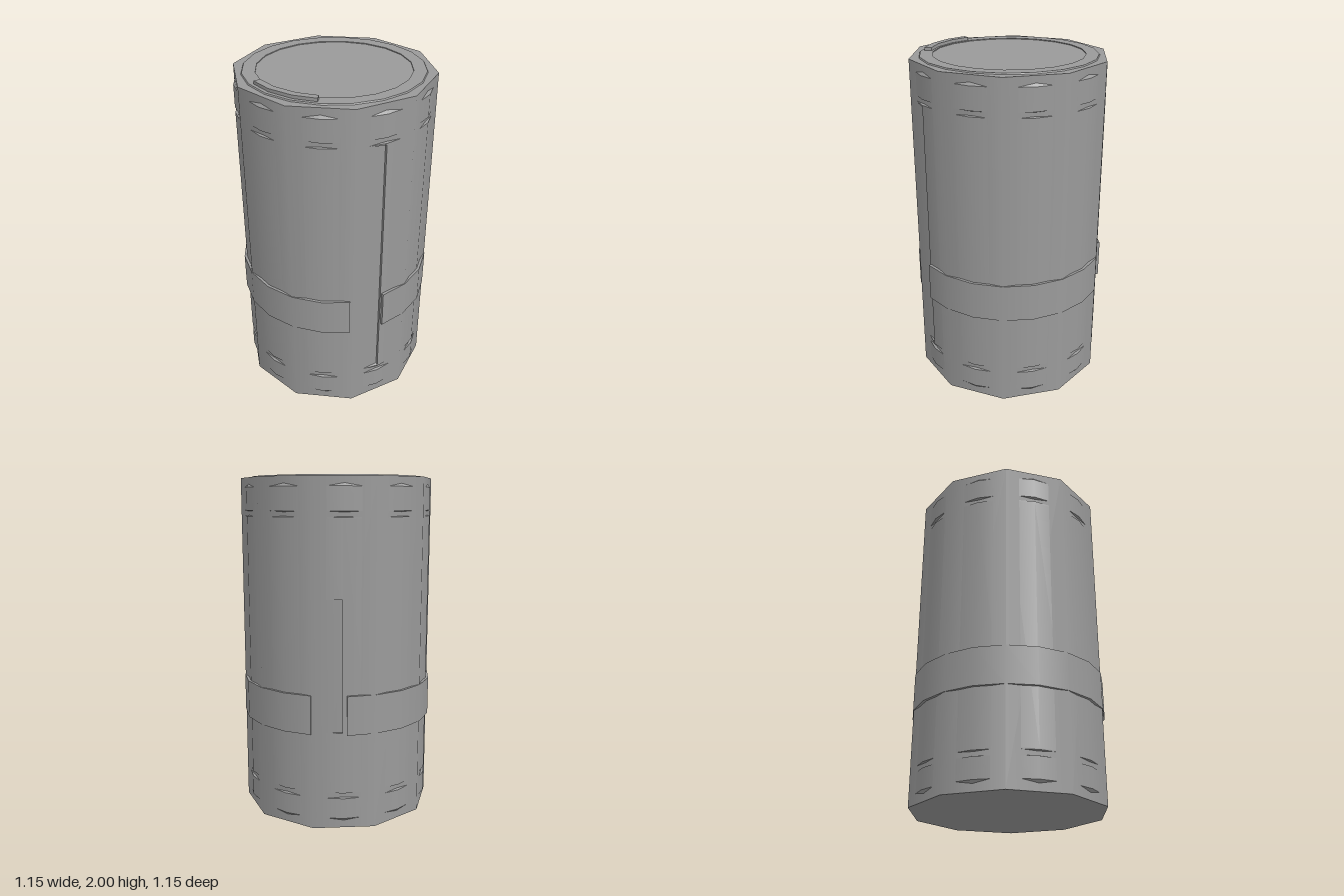
import * as THREE from 'three';
import { toCreasedNormals } from 'three/addons/utils/BufferGeometryUtils.js';

const STEP = 18; // degrees per side of the 20-sided rings
const BODY_R = 0.57;
const SLEEVE_R = 0.557;

// Round shading for walls that face outwards; edges and ends stay sharp
function roundNormals(geometry) {
  const { position, normal } = geometry.attributes;
  const n = new THREE.Vector3();
  const radial = new THREE.Vector3();
  for (let i = 0; i < position.count; i++) {
    n.fromBufferAttribute(normal, i);
    radial.fromBufferAttribute(position, i).setY(0).normalize();
    if (n.dot(radial) > 0.93) normal.setXYZ(i, radial.x, 0, radial.z);
  }
  return geometry;
}

export function createModel() {
  const model = new THREE.Group();
  model.name = 'canister';
  const material = new THREE.MeshStandardMaterial({ color: 0x9a9a9a });

  function add(name, geometry, crease = 0.5) {
    const mesh = new THREE.Mesh(roundNormals(toCreasedNormals(geometry, crease)), material);
    mesh.name = name;
    model.add(mesh);
  }

  // Full 20-sided ring from a [radius, y] profile
  function ring(name, profile) {
    add(name, new THREE.LatheGeometry(profile.map(p => new THREE.Vector2(...p)), 20));
  }

  // Curved slab between two angles, measured from +x towards +z
  function sector(name, inner, outer, y0, y1, from, to) {
    const angles = [from];
    for (let a = (Math.floor(from / STEP) + 1) * STEP; a < to; a += STEP) angles.push(a);
    angles.push(to);
    const arc = r => angles.map(a => {
      const t = THREE.MathUtils.degToRad(a);
      return new THREE.Vector2(r * Math.cos(t), -r * Math.sin(t));
    });
    const shape = new THREE.Shape([...arc(outer), ...arc(inner).reverse()]);
    const geometry = new THREE.ExtrudeGeometry(shape, { depth: y1 - y0, bevelEnabled: false });
    geometry.rotateX(-Math.PI / 2).translate(0, y0, 0);
    add(name, geometry);
  }

  // Ten-sided body with a corner on each end of the x axis
  const body = new THREE.CylinderGeometry(BODY_R, BODY_R, 1.975, 10, 1, false, Math.PI / 10);
  add('body', body.translate(0, 1.975 / 2, 0), 0.8);

  // Finer collars that swell through the flat sides, set off by grooves
  const r = SLEEVE_R;
  ring('lowerCollar', [[0.53, 0.03], [r, 0.06], [r, 0.18], [0.53, 0.19]]);
  ring('upperCollar', [[0.53, 1.78], [r, 1.79], [r, 1.92], [0.53, 1.95]]);

  // Sleeve between the collars, with bevelled hems
  ring('sleeveLowerHem', [[0.53, 0.205], [r, 0.213], [r, 0.22], [0.53, 0.235]]);
  ring('sleeveUpperHem', [[0.53, 1.735], [r, 1.75], [r, 1.758], [0.53, 1.766]]);

  // Sleeve wall, leaving a tall recess at the front and a short one at the back
  sector('sleeveRight', 0.5, r, 0.22, 1.75, 72, 271);
  sector('sleeveLeft', 0.5, r, 0.22, 1.75, 288, 414);
  sector('sleeveBackLower', 0.5, r, 0.22, 0.57, 271, 288);
  sector('sleeveBackUpper', 0.5, r, 1.32, 1.75, 271, 288);

  // Raised band in two lengths, with a gap at the front and at the back
  sector('bandRight', 0.5, 0.573, 0.56, 0.785, 73.6, 268.5);
  sector('bandLeft', 0.5, 0.573, 0.56, 0.785, 289, 413);

  // Lid rim, slightly sunken centre and curved tab
  ring('lidRim', [[0.516, 1.97], [0.509, 1.982], [0.435, 1.982], [0.435, 1.977], [0, 1.977]]);
  sector('lidTab', 0.447, 0.488, 1.975, 2, 92.4, 142);

  return model;
}
